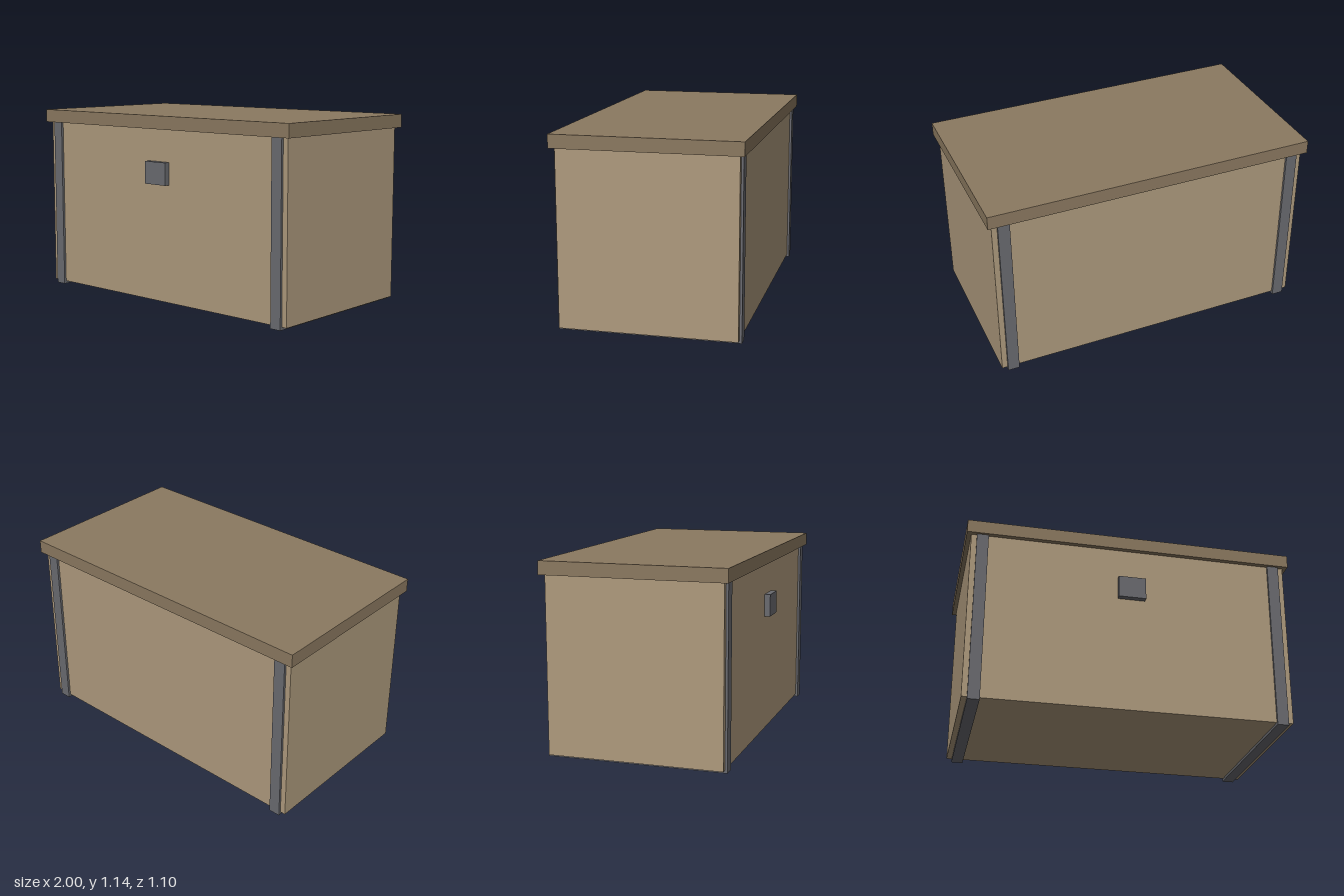
import * as THREE from 'three';

const material = (name, color) => {
  const m = new THREE.MeshStandardMaterial({ color });
  m.name = name;
  return m;
};

export function createModel() {
  const wood = material('light wood', 0xae9a7d);
  const darkWood = material('dark wood', 0x8b7960);
  const metal = material('grey metal', 0x6a6b70);

  const chest = new THREE.Group();
  chest.name = 'chest';

  // Box given by its lower and upper corners
  const addBox = (name, mat, [x0, y0, z0], [x1, y1, z1]) => {
    const mesh = new THREE.Mesh(new THREE.BoxGeometry(x1 - x0, y1 - y0, z1 - z0), mat);
    mesh.position.set((x0 + x1) / 2, (y0 + y1) / 2, (z0 + z1) / 2);
    mesh.name = name;
    chest.add(mesh);
  };

  // Body and overhanging lid
  addBox('body', wood, [-0.973, 0.017, -0.522], [0.973, 1.06, 0.518]);
  addBox('lid', darkWood, [-1, 1.06, -0.551], [1, 1.14, 0.547]);

  // Metal bands wrapping front, underside and back
  for (const [name, x] of [['leftBand', 0.905], ['rightBand', -0.905]]) {
    addBox(name, metal, [x - 0.035, 0, -0.536], [x + 0.035, 1.06, 0.532]);
  }

  // Latch plate on the front
  addBox('latch', metal, [-0.083, 0.73, 0.5], [0.083, 0.866, 0.553]);

  return chest;
}
